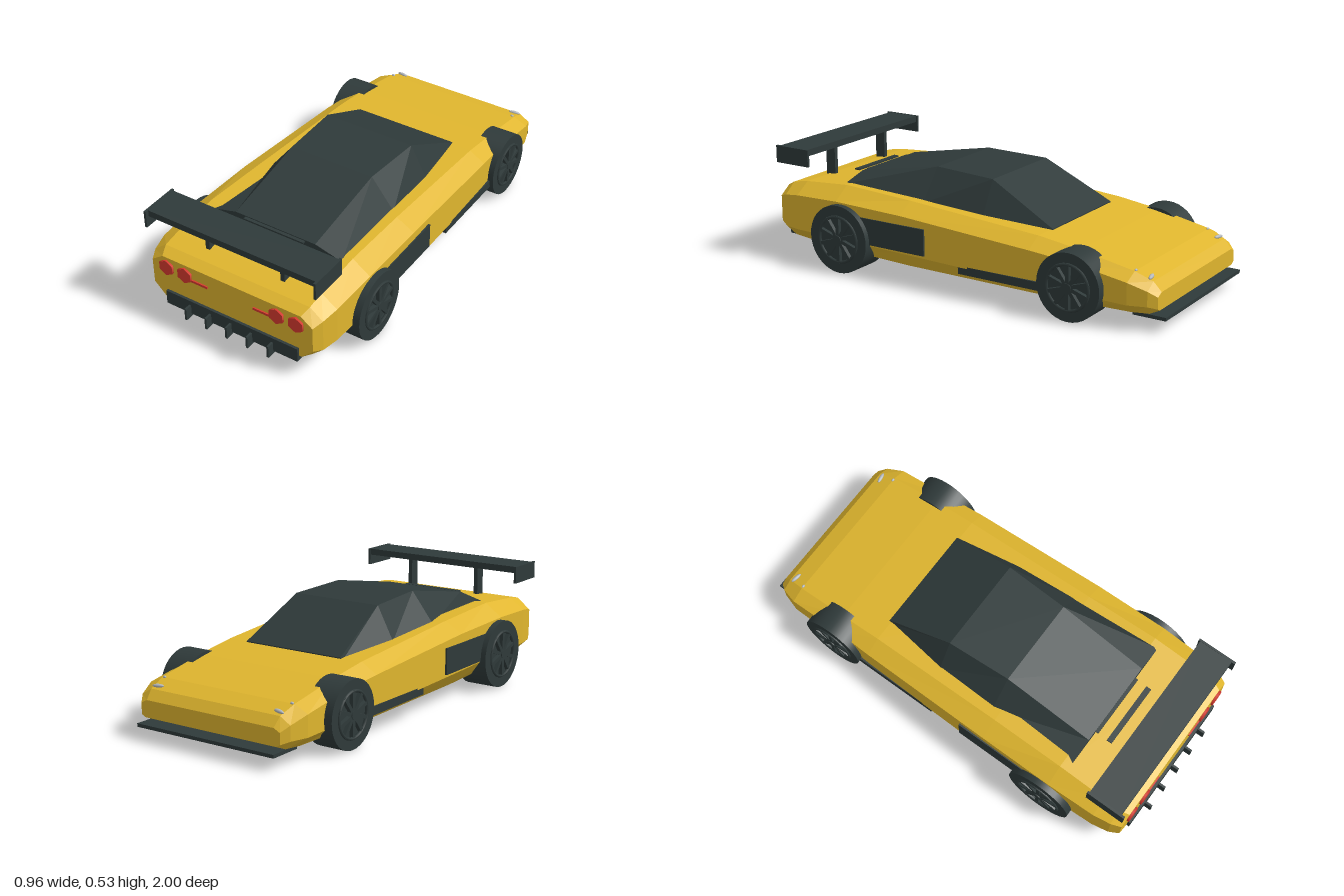
import * as THREE from 'three';
import { toCreasedNormals } from 'three/addons/utils/BufferGeometryUtils.js';

const paint = new THREE.MeshStandardMaterial({ color: 0xe0b62e });
paint.name = 'yellowPaint';
const dark = new THREE.MeshStandardMaterial({ color: 0x2f3a3a });
dark.name = 'darkTrim';
const red = new THREE.MeshStandardMaterial({ color: 0xd83a2e });
red.name = 'redLight';
const grey = new THREE.MeshStandardMaterial({ color: 0xb4b8bc });
grey.name = 'greyLamp';

// Faceted skin over cross-sections listed from +z to -z, each counterclockwise seen from +z
function loft(sections) {
  const pos = [];
  const tri = (...pts) => pts.forEach((p) => pos.push(...p));
  const n = sections[0].length;
  for (let i = 0; i < sections.length - 1; i++) {
    for (let j = 0; j < n; j++) {
      const k = (j + 1) % n;
      const [a, b] = [sections[i][j], sections[i][k]];
      const [d, c] = [sections[i + 1][j], sections[i + 1][k]];
      tri(a, d, c);
      tri(a, c, b);
    }
  }
  const first = sections[0];
  const last = sections[sections.length - 1];
  for (let j = 1; j < n - 1; j++) {
    tri(first[0], first[j], first[j + 1]);
    tri(last[0], last[j + 1], last[j]);
  }
  const g = new THREE.BufferGeometry();
  g.setAttribute('position', new THREE.Float32BufferAttribute(pos, 3));
  g.computeVertexNormals();
  return g;
}

export function createModel() {
  const car = new THREE.Group();
  car.name = 'sportsCar';

  const add = (name, geometry, material, x = 0, y = 0, z = 0, parent = car) => {
    const m = new THREE.Mesh(geometry, material);
    m.name = name;
    m.position.set(x, y, z);
    parent.add(m);
    return m;
  };
  // Box given by its limits on each axis
  const box = (name, x0, x1, y0, y1, z0, z1, material = dark) =>
    add(name, new THREE.BoxGeometry(x1 - x0, y1 - y0, z1 - z0), material,
      (x0 + x1) / 2, (y0 + y1) / 2, (z0 + z1) / 2);

  // Body: z, top half width, top y, widest half width, shoulder y, lower y, floor half width, floor y
  const bodyRows = [
    [0.955, 0.345, 0.325, 0.40, 0.285, 0.165, 0.345, 0.11],
    [0.91, 0.36, 0.348, 0.42, 0.30, 0.15, 0.36, 0.095],
    [0.83, 0.36, 0.362, 0.435, 0.312, 0.15, 0.365, 0.09],
    [0.60, 0.36, 0.378, 0.443, 0.32, 0.15, 0.385, 0.08],
    [0.25, 0.355, 0.358, 0.44, 0.31, 0.14, 0.385, 0.07],
    [-0.40, 0.35, 0.31, 0.425, 0.265, 0.12, 0.385, 0.068],
    [-0.60, 0.35, 0.283, 0.415, 0.245, 0.115, 0.38, 0.068],
    [-0.85, 0.345, 0.236, 0.41, 0.205, 0.11, 0.37, 0.07],
    [-0.93, 0.335, 0.205, 0.385, 0.175, 0.11, 0.36, 0.075],
    [-0.965, 0.33, 0.165, 0.36, 0.15, 0.10, 0.34, 0.09],
  ];
  add('body', loft(bodyRows.map(([z, xt, yt, xw, ys, yl, xb, yb]) => [
    [xb, yb, z], [xw, yl, z], [xw, ys, z], [xt, yt, z],
    [-xt, yt, z], [-xw, ys, z], [-xw, yl, z], [-xb, yb, z],
  ])), paint);

  // Cabin: z, base half width, base y, roof half width, roof y
  const cabinRows = [
    [0.635, 0.33, 0.372, 0.20, 0.406],
    [0.21, 0.315, 0.345, 0.205, 0.485],
    [-0.09, 0.30, 0.325, 0.22, 0.475],
    [-0.41, 0.255, 0.295, 0.25, 0.313],
  ];
  add('cabin', loft(cabinRows.map(([z, xb, yb, xt, yt]) => [
    [xb, yb, z], [xt, yt, z], [-xt, yt, z], [-xb, yb, z],
  ])), dark);

  // Engine cover slats
  box('frontSlat', -0.15, 0.15, 0.395, 0.402, 0.63, 0.65);
  box('rearSlat', -0.15, 0.15, 0.385, 0.392, 0.695, 0.72);

  // Rear wing, diffuser and front splitter
  box('wingBlade', -0.415, 0.415, 0.495, 0.525, 0.78, 0.94);
  box('diffuser', -0.332, 0.332, 0.085, 0.152, 0.88, 0.967);
  for (let i = -2; i <= 2; i++) {
    box('diffuserFin', i * 0.104 - 0.005, i * 0.104 + 0.005, 0.072, 0.13, 0.90, 1.0);
  }
  box('splitter', -0.355, 0.355, 0.055, 0.07, -1.0, -0.85);

  // Wheel with a recessed face, rim ring, spokes and hub, axle along x
  const wheel = (name, side, z, r, inner, outer) => {
    const g = new THREE.Group();
    g.name = name;
    g.position.set(side * (inner + outer) / 2, r, z);
    if (side < 0) g.rotation.y = Math.PI;
    const h = (outer - inner) / 2;
    const rim = r * 0.7;
    const profile = [[0, -h], [r, -h], [r, h], [rim, h], [rim, h - 0.015], [0, h - 0.015]]
      .map(([x, y]) => new THREE.Vector2(x, y));
    const tyre = new THREE.LatheGeometry(profile, 36).rotateZ(-Math.PI / 2);
    tyre.deleteAttribute('normal');
    tyre.deleteAttribute('uv');
    add('tyre', toCreasedNormals(tyre, 0.6), dark, 0, 0, 0, g);
    for (let i = 0; i < 10; i++) {
      const spoke = new THREE.BoxGeometry(0.018, rim * 0.88, 0.016);
      spoke.translate(0, rim * 0.56, 0).rotateX((i * Math.PI) / 5);
      add('spoke', spoke, dark, h - 0.004, 0, 0, g);
    }
    add('rimRing', new THREE.TorusGeometry(rim - 0.005, 0.007, 6, 32).rotateY(Math.PI / 2),
      dark, h, 0, 0, g);
    add('hub', new THREE.CylinderGeometry(0.02, 0.02, 0.025, 12).rotateZ(Math.PI / 2),
      dark, h - 0.004, 0, 0, g);
    car.add(g);
  };

  for (const s of [1, -1]) {
    const sideName = s > 0 ? 'left' : 'right';
    // Mirrored box helper
    const mbox = (part, x0, x1, ...rest) =>
      box(sideName + part, Math.min(s * x0, s * x1), Math.max(s * x0, s * x1), ...rest);

    wheel(sideName + 'RearWheel', s, 0.57, 0.156, 0.322, 0.471);
    wheel(sideName + 'FrontWheel', s, -0.60, 0.148, 0.322, 0.449);

    mbox('WingEndPlate', 0.41, 0.421, 0.447, 0.526, 0.772, 0.956);
    mbox('WingPost', 0.177, 0.197, 0.355, 0.50, 0.80, 0.85);
    mbox('SideIntake', 0.40, 0.446, 0.15, 0.27, 0.12, 0.47);
    mbox('Sill', 0.38, 0.432, 0.10, 0.137, -0.50, -0.05);

    // Tail lamps
    for (const x of [0.324, 0.23]) {
      add(sideName + 'TailLamp', new THREE.CylinderGeometry(0.038, 0.038, 0.03, 6).rotateX(Math.PI / 2),
        red, s * x, 0.276, 0.95);
    }
    mbox('TailStrip', 0.115, 0.205, 0.255, 0.266, 0.945, 0.961, red);

    // Front lamps
    const lamp = add(sideName + 'HeadLamp', new THREE.SphereGeometry(1, 12, 8), grey, s * 0.315, 0.216, -0.91);
    lamp.scale.set(0.028, 0.008, 0.009);
    lamp.rotation.set(-0.3, s * 0.2, 0);
    const marker = add(sideName + 'MarkerLamp', new THREE.SphereGeometry(1, 10, 6), grey, s * 0.333, 0.237, -0.85);
    marker.scale.set(0.009, 0.006, 0.006);
  }
  return car;
}
